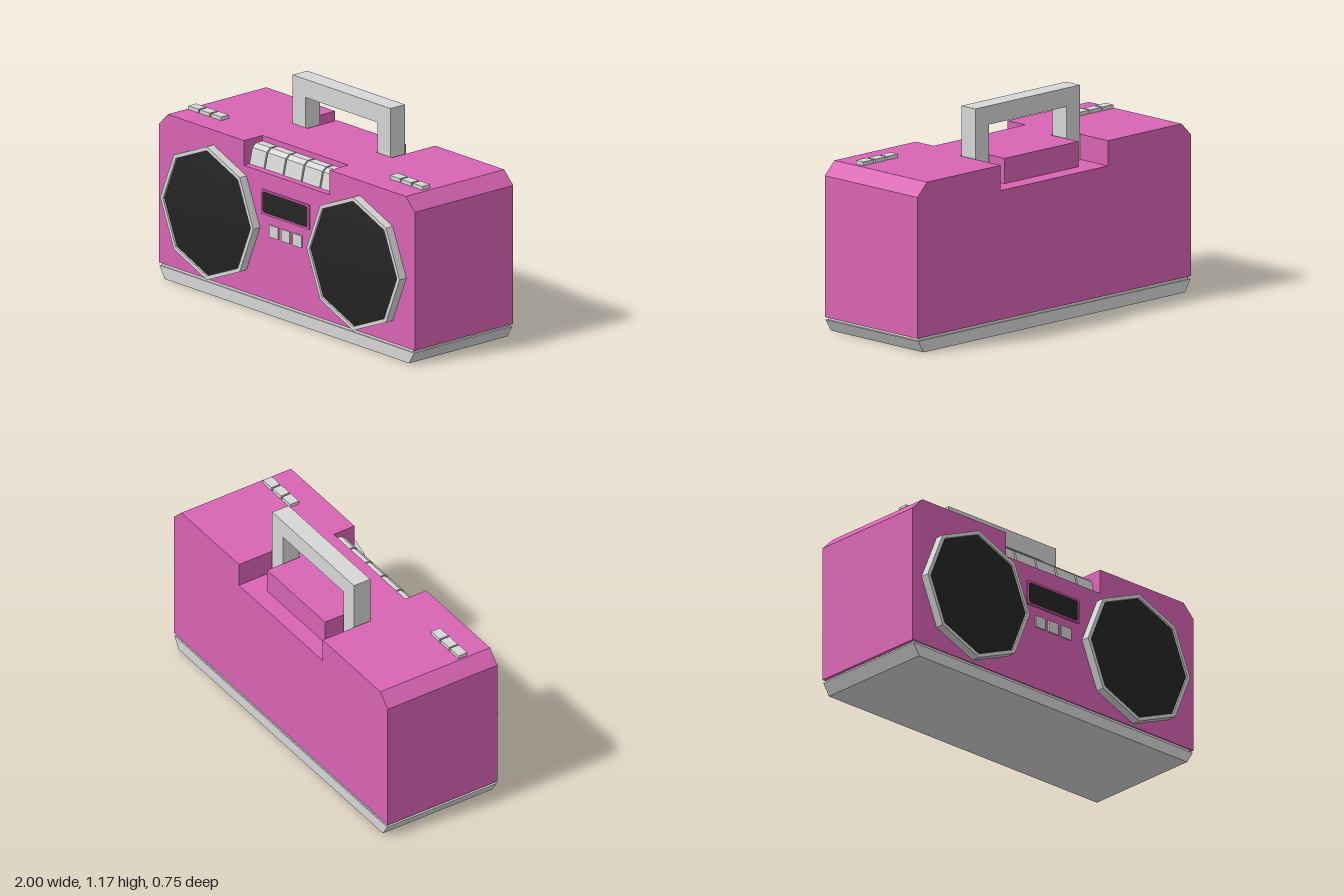
import * as THREE from 'three';

const pink = new THREE.MeshStandardMaterial({ color: 0xd864b3 });
pink.name = 'pink casing';
const grey = new THREE.MeshStandardMaterial({ color: 0xd6d6d6 });
grey.name = 'light grey trim';
const black = new THREE.MeshStandardMaterial({ color: 0x242424 });
black.name = 'black grille';

function add(parent, name, geometry, material) {
  const mesh = new THREE.Mesh(geometry, material);
  mesh.name = name;
  parent.add(mesh);
  return mesh;
}

// Box given by its limits on each axis
function box(parent, name, material, x0, x1, y0, y1, z0, z1) {
  const mesh = add(parent, name, new THREE.BoxGeometry(x1 - x0, y1 - y0, z1 - z0), material);
  mesh.position.set((x0 + x1) / 2, (y0 + y1) / 2, (z0 + z1) / 2);
  return mesh;
}

function outline(points, holes = []) {
  const shape = new THREE.Shape(points.map(p => new THREE.Vector2(...p)));
  for (const h of holes) shape.holes.push(new THREE.Path(h.map(p => new THREE.Vector2(...p))));
  return shape;
}

// Outline in x, y pushed from z0 to z1
function slab(parent, name, material, shape, z0, z1) {
  const geometry = new THREE.ExtrudeGeometry(shape, { depth: z1 - z0, bevelEnabled: false });
  geometry.translate(0, 0, z0);
  return add(parent, name, geometry, material);
}

function octagon(r) {
  return Array.from({ length: 8 }, (_, i) => [r * Math.cos(i * Math.PI / 4), r * Math.sin(i * Math.PI / 4)]);
}

function chamferedRect(x, y, c) {
  return [[-x, -y + c], [-x + c, -y], [x - c, -y], [x, -y + c], [x, y - c], [x - c, y], [-x + c, y], [-x, y - c]];
}

const TOP = 0.905, FLOOR = 0.77, BACK = -0.375, FRONT = 0.31;

// Casing cross-section with notches cut into its top edge, listed from +x to -x
function casing(notches) {
  const points = [[-1, 0.08], [1, 0.08], [1, 0.835], [0.93, TOP]];
  for (const [right, left] of notches) points.push([right, TOP], [right, FLOOR], [left, FLOOR], [left, TOP]);
  points.push([-0.93, TOP], [-1, 0.835]);
  return outline(points);
}

export function createModel() {
  const model = new THREE.Group();
  model.name = 'portable stereo';

  // Casing in four slices: handle well, leg pockets, solid middle, key recess
  const body = new THREE.Group();
  body.name = 'casing';
  model.add(body);
  slab(body, 'casingBack', pink, casing([[0.392, -0.392]]), BACK, -0.28);
  slab(body, 'casingHandleWell', pink, casing([[0.392, 0.27], [-0.27, -0.392]]), -0.28, -0.073);
  slab(body, 'casingMiddle', pink, casing([]), -0.073, 0.18);
  slab(body, 'casingFront', pink, casing([[0.335, -0.335]]), 0.18, FRONT);

  // Base with sloping ends and a thin shadow gap above
  slab(model, 'base', grey, outline([[-0.955, 0], [0.955, 0], [0.995, 0.065], [-0.995, 0.065]]), BACK, FRONT);
  box(model, 'baseNeck', grey, -0.982, 0.982, 0.065, 0.08, BACK + 0.006, FRONT - 0.006);

  // Carrying handle
  slab(model, 'handle', grey, outline([
    [-0.385, FLOOR], [-0.285, FLOOR], [-0.285, 1.07], [0.28, 1.07],
    [0.28, FLOOR], [0.38, FLOOR], [0.38, 1.17], [-0.385, 1.17],
  ]), -0.175, -0.073);

  // Speakers: octagonal rim around a shallow domed grille
  for (const x of [-0.573, 0.57]) {
    const speaker = new THREE.Group();
    speaker.name = x < 0 ? 'rightSpeaker' : 'leftSpeaker';
    speaker.position.set(x, 0.46, 0);
    model.add(speaker);
    slab(speaker, 'speakerRim', grey, outline(octagon(0.364), [octagon(0.342)]), FRONT, 0.357);
    const profile = [0.344, 0.3, 0.25, 0.19, 0.13, 0.07, 0].map(r => new THREE.Vector2(r, 0.377 - 0.26 * r * r));
    const dome = new THREE.LatheGeometry(profile, 8);
    dome.rotateX(Math.PI / 2);
    add(speaker, 'speakerGrille', dome, black);
  }

  // Cassette keys with a sloping front
  const keyEdges = [-0.335, -0.22, -0.072, 0.07, 0.215, 0.332];
  for (let i = 0; i < 5; i++) {
    const x0 = keyEdges[i] + (i ? 0.005 : 0), x1 = keyEdges[i + 1] - (i < 4 ? 0.005 : 0);
    const side = outline([[-0.18, FLOOR], [-0.27, FLOOR], [-0.25, 0.855], [-0.225, 0.875], [-0.18, 0.875]]);
    const geometry = new THREE.ExtrudeGeometry(side, { depth: x1 - x0, bevelEnabled: false });
    geometry.rotateY(Math.PI / 2);
    geometry.translate(x0, 0, 0);
    add(model, 'cassetteKey', geometry, grey);
  }

  // Display with its raised frame
  const display = new THREE.Group();
  display.name = 'display';
  display.position.set(-0.004, 0.611, 0);
  model.add(display);
  slab(display, 'displayFrame', pink, outline(chamferedRect(0.187, 0.067, 0.004), [chamferedRect(0.175, 0.057, 0.01)]), FRONT, 0.32);
  slab(display, 'displayScreen', black, outline(chamferedRect(0.175, 0.057, 0.01)), FRONT, 0.314);

  // Buttons under the display
  for (const x of [-0.095, -0.003, 0.089]) box(model, 'frontButton', grey, x - 0.035, x + 0.035, 0.43, 0.495, FRONT, 0.318);

  // Buttons along both ends of the top
  for (const middle of [-0.793, 0.78]) {
    for (const step of [-1, 0, 1]) {
      const x = middle + step * 0.088;
      box(model, 'topButton', grey, x - 0.039, x + 0.039, TOP, 0.925, 0.12, 0.175);
    }
  }

  return model;
}
